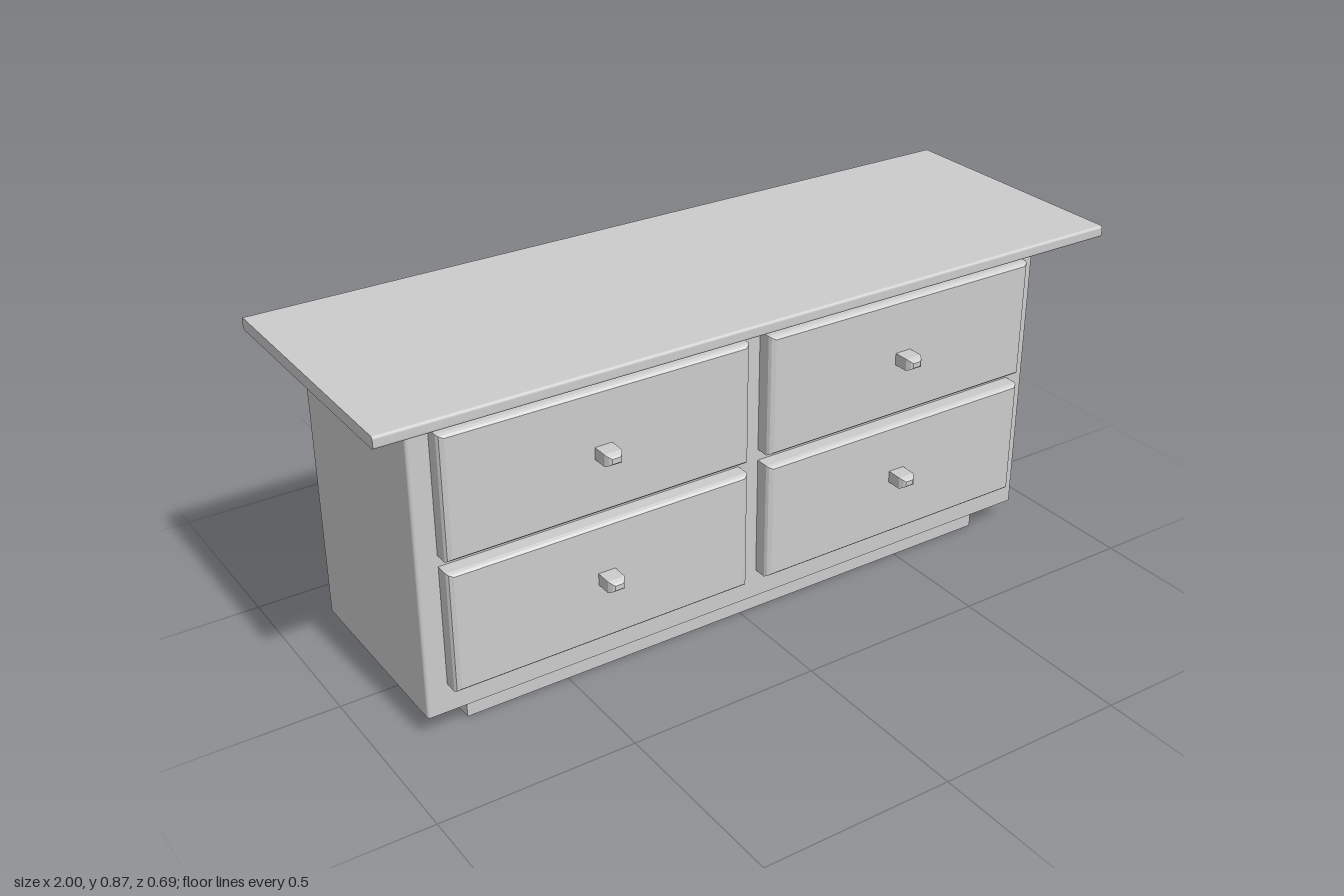
import * as THREE from 'three';

const material = new THREE.MeshStandardMaterial({ color: 0xcccccc, flatShading: true });

// Rectangle with small rounded corners, centred on (cx, cy)
function roundedRect(w, h, r, cx = 0, cy = 0) {
  const s = new THREE.Shape();
  const x = w / 2 - r, y = h / 2 - r;
  s.absarc(cx + x, cy + y, r, 0, Math.PI / 2);
  s.absarc(cx - x, cy + y, r, Math.PI / 2, Math.PI);
  s.absarc(cx - x, cy - y, r, Math.PI, Math.PI * 1.5);
  s.absarc(cx + x, cy - y, r, Math.PI * 1.5, Math.PI * 2);
  s.closePath();
  return s;
}

const extrude = (shape, depth) =>
  new THREE.ExtrudeGeometry(shape, { depth, bevelEnabled: false, curveSegments: 4 });

// Block whose front edges step inwards; rings are [z, insetX, insetY]
function steppedBlock(w, h, rings) {
  const geo = new THREE.BoxGeometry(w, h, 1, 1, 1, rings.length - 1);
  const p = geo.attributes.position;
  for (let i = 0; i < p.count; i++) {
    const [z, ix, iy] = rings[Math.round((p.getZ(i) + 0.5) * (rings.length - 1))];
    p.setXYZ(i, p.getX(i) * (1 - 2 * ix / w), p.getY(i) * (1 - 2 * iy / h), z);
  }
  geo.computeVertexNormals();
  return geo;
}

export function createModel() {
  const group = new THREE.Group();
  const add = (name, geo, parent = group) => {
    const mesh = new THREE.Mesh(geo, material);
    mesh.name = name;
    parent.add(mesh);
    return mesh;
  };

  // Recessed plinth
  add('plinth', new THREE.BoxGeometry(1.534, 0.06, 0.472)).position.set(-0.003, 0.03, -0.036);

  // Cabinet body with softened upright corners
  const body = extrude(roundedRect(1.76, 0.536, 0.008), 0.78);
  body.rotateX(-Math.PI / 2);
  add('cabinetBody', body).position.set(-0.003, 0.06, -0.036);

  // Overhanging top, long edges rounded
  const top = extrude(roundedRect(0.685, 0.03, 0.007), 2);
  top.rotateY(Math.PI / 2);
  add('tableTop', top).position.set(-1, 0.855, 0);

  // Four drawers, each with a bevelled front and a tapered knob
  const front = steppedBlock(0.797, 0.313,
    [[0, 0, 0], [0.034, 0, 0], [0.041, 0.004, 0.003], [0.046, 0.014, 0.008]]);
  const knob = steppedBlock(0.045, 0.031,
    [[0, 0, 0], [0.04, 0, 0], [0.05, 0.006, 0.005], [0.054, 0.012, 0.009]]);
  for (const [side, x] of [['right', -0.431], ['left', 0.423]]) {
    for (const [row, y] of [['Lower', 0.292], ['Upper', 0.634]]) {
      const drawer = new THREE.Group();
      drawer.name = `${side}${row}Drawer`;
      drawer.position.set(x, y, 0.232);
      add('drawerFront', front, drawer);
      add('knob', knob, drawer).position.set(0, row === 'Upper' ? 0.001 : 0.013, 0.046);
      group.add(drawer);
    }
  }

  return group;
}
